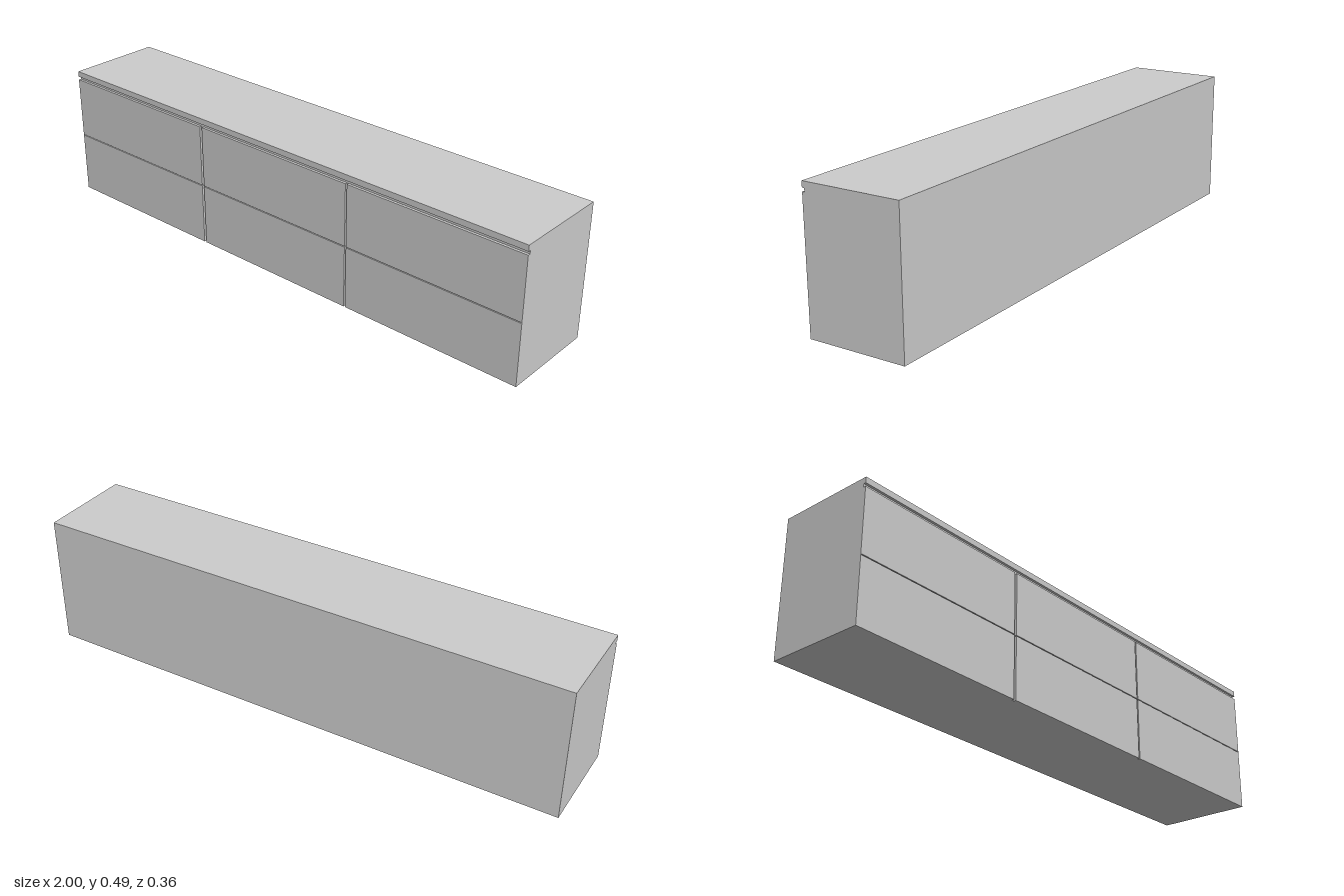
import * as THREE from 'three';

const material = new THREE.MeshStandardMaterial({ color: 0xcccccc, flatShading: true });

// Box given by its min and max corners
function addBox(parent, name, [x0, y0, z0], [x1, y1, z1]) {
  const mesh = new THREE.Mesh(new THREE.BoxGeometry(x1 - x0, y1 - y0, z1 - z0), material);
  mesh.name = name;
  mesh.position.set((x0 + x1) / 2, (y0 + y1) / 2, (z0 + z1) / 2);
  parent.add(mesh);
}

export function createModel() {
  const group = new THREE.Group();
  group.name = 'sideboard';

  const back = -0.178, front = 0.178, recess = 0.169;
  const frontTop = 0.457, topBottom = 0.469, height = 0.49;

  // Body, set back behind the fronts and the finger groove
  addBox(group, 'carcass', [-1, 0, back], [1, topBottom, recess]);
  addBox(group, 'topPanel', [-1, topBottom, back], [1, height, front]);

  // Thin edges that close the drawer seam at both ends
  const edge = 0.003;
  for (const [name, x] of [['rightEdge', -1], ['leftEdge', 1 - edge]]) {
    addBox(group, name, [x, 0, recess], [x + edge, frontTop, front]);
  }

  // Three columns of two drawer fronts, with narrow gaps between them
  const columns = [[-1 + edge, -0.34], [-0.331, 0.322], [0.328, 1 - edge]];
  const rows = [[0, 0.2265], [0.2295, frontTop]];
  const drawers = new THREE.Group();
  drawers.name = 'drawerFronts';
  group.add(drawers);
  for (const [x0, x1] of columns) {
    for (const [y0, y1] of rows) {
      addBox(drawers, 'drawerFront', [x0, y0, recess], [x1, y1, front]);
    }
  }

  return group;
}
